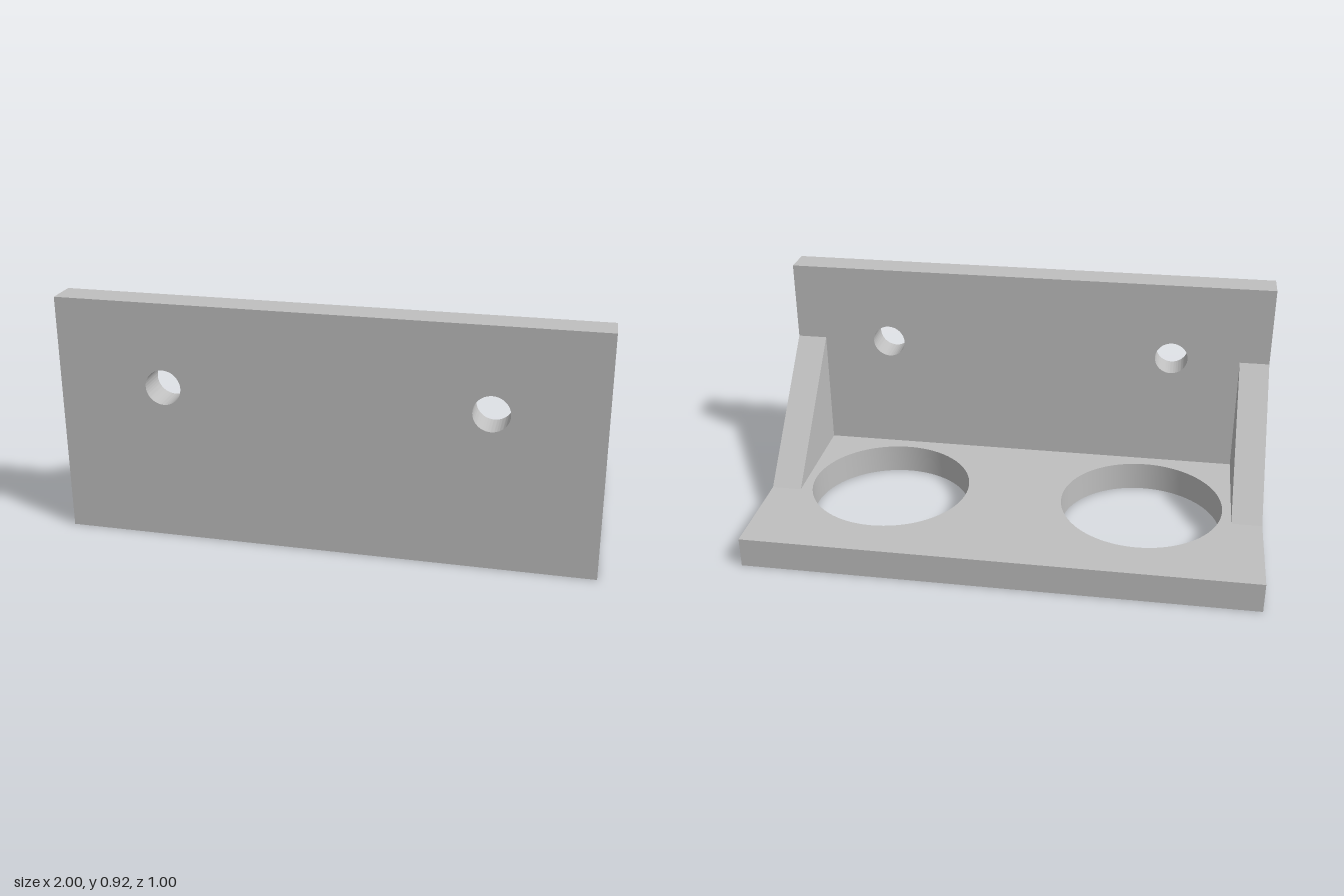
import * as THREE from 'three';
import { toCreasedNormals } from 'three/addons/utils/BufferGeometryUtils.js';

const T = 0.12; // plate thickness

// Flat outline with optional round holes [x, y, radius], extruded by T
function plate(points, holes = []) {
  const shape = new THREE.Shape(points.map(([x, y]) => new THREE.Vector2(x, y)));
  for (const [x, y, r] of holes) {
    shape.holes.push(new THREE.Path().absarc(x, y, r, 0, Math.PI * 2, true));
  }
  const geometry = new THREE.ExtrudeGeometry(shape, { depth: T, bevelEnabled: false, curveSegments: 64 });
  return toCreasedNormals(geometry, 0.5);
}

export function createModel() {
  const model = new THREE.Group();
  model.name = 'shelfBracket';
  const grey = new THREE.MeshStandardMaterial({ color: 0xbfbfbf });
  grey.name = 'grey';

  const add = (name, geometry) => {
    const mesh = new THREE.Mesh(geometry, grey);
    mesh.name = name;
    model.add(mesh);
    return mesh;
  };

  // Upright plate with two screw holes
  add('uprightPlate', plate(
    [[-1, 0], [1, 0], [1, 0.92], [-1, 0.92]],
    [[-0.6, 0.6, 0.067], [0.6, 0.6, 0.067]]
  )).position.z = 0.5 - T;

  // Shelf with two large round openings (outline y becomes -z)
  add('shelf', plate(
    [[-1, T - 0.5], [1, T - 0.5], [1, 0.5], [-1, 0.5]],
    [[-0.52, 0, 0.325], [0.52, 0, 0.325]]
  ).rotateX(-Math.PI / 2));

  // Triangular gussets at both ends (outline x becomes z)
  for (const [name, x] of [['leftGusset', 1], ['rightGusset', T - 1]]) {
    add(name, plate([[-0.1, T], [0.38, T], [0.38, 0.6]]).rotateY(-Math.PI / 2)).position.x = x;
  }

  return model;
}
